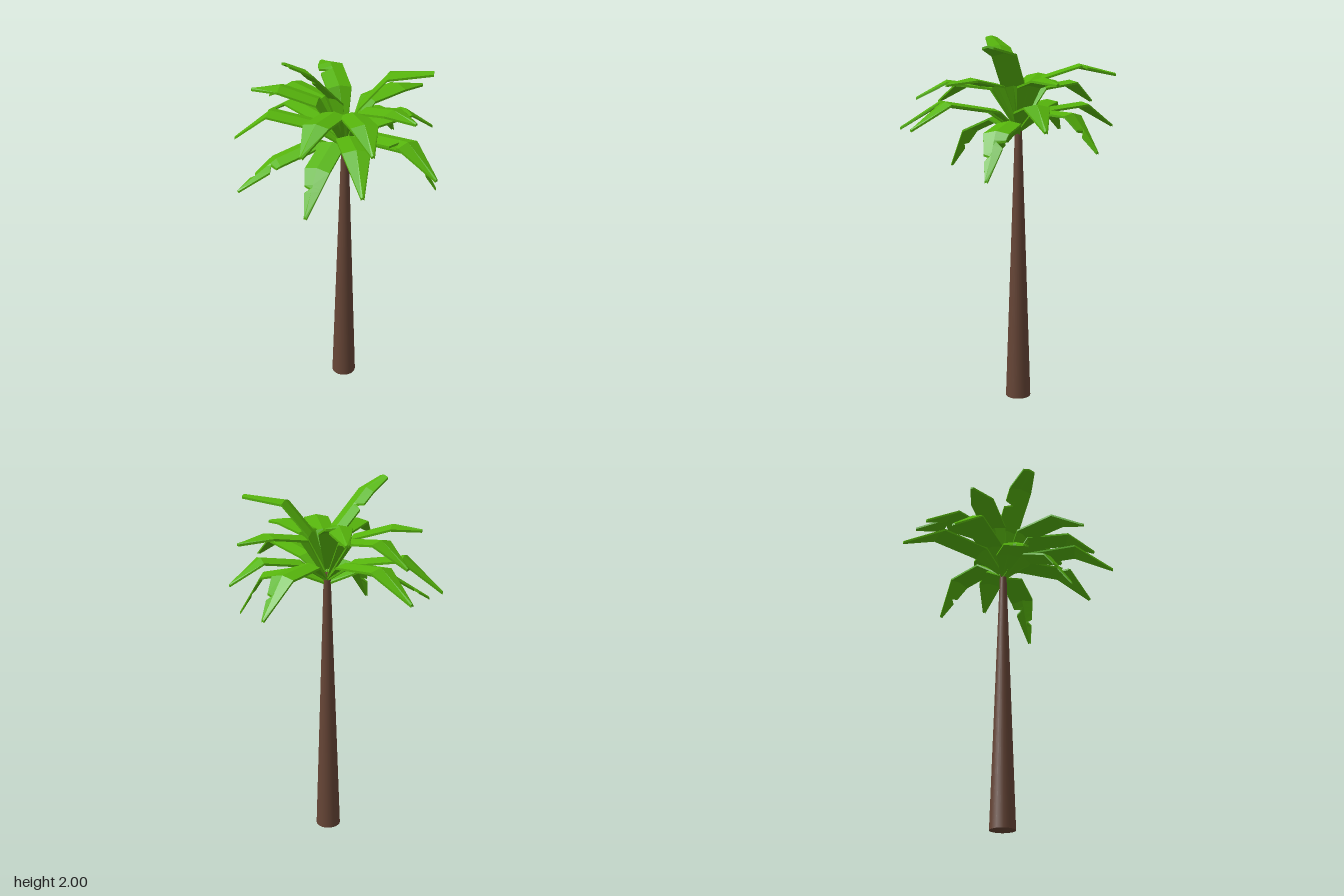
import * as THREE from 'three';

const CX = 0.034, CZ = -0.047;   // trunk axis
const THICK = 0.011;

// [tip x, y, z,  start y,  fold 1 r, y,  fold 2 r, y,  tip half width,  notches [position, side]]
const LOW = [
  [-0.58, 1.47, -0.035, 1.49, 0.15, 1.60, 0.41, 1.64, 0.008],
  [-0.505, 1.50, -0.39, 1.49, 0.15, 1.60, 0.42, 1.63, 0.008],
  [0.44, 1.51, -0.38, 1.49, 0.15, 1.60, 0.36, 1.63, 0.008],
  [0.27, 1.50, 0.545, 1.49, 0.15, 1.60, 0.42, 1.64, 0.008],
  [0.57, 1.51, 0.29, 1.49, 0.15, 1.60, 0.44, 1.64, 0.008, [[1.85, 1]]],
  [0.19, 1.40, -0.55, 1.49, 0.15, 1.60, 0.37, 1.585, 0.008, [[2.45, 1]]],
  [0.52, 1.27, -0.10, 1.47, 0.15, 1.54, 0.35, 1.50, 0.008, [[2.2, -1], [2.5, 1]]],
  [-0.05, 1.28, 0.41, 1.47, 0.15, 1.56, 0.33, 1.49, 0.008, [[2.4, 1]]],
  [-0.44, 1.33, 0.305, 1.47, 0.15, 1.54, 0.38, 1.47, 0.008, [[2.15, -1], [2.55, 1]]],
];
const MIDDLE = [
  [-0.455, 1.77, 0.0, 1.50, 0.14, 1.73, 0.34, 1.79, 0.008],
  [-0.455, 1.64, -0.28, 1.50, 0.14, 1.72, 0.37, 1.75, 0.008],
  [0.37, 1.73, -0.41, 1.50, 0.14, 1.73, 0.33, 1.76, 0.008],
  [0.44, 1.73, 0.16, 1.50, 0.14, 1.73, 0.31, 1.76, 0.008],
  [0.29, 1.66, 0.43, 1.50, 0.14, 1.72, 0.38, 1.75, 0.008],
  [-0.04, 1.64, 0.485, 1.50, 0.14, 1.72, 0.37, 1.74, 0.008],
];
const UPPER = [
  [0.475, 1.91, -0.09, 1.55, 0.08, 1.73, 0.22, 1.89, 0.03],
  [-0.19, 1.996, 0.225, 1.55, 0.06, 1.76, 0.24, 1.94, 0.036, [[1.6, 1]]],
  [-0.22, 1.785, -0.50, 1.55, 0.12, 1.77, 0.32, 1.835, 0.01, [[1.72, -1], [2.1, 1]]],
];

// Stations along a frond: [position 0..3 along the folded path, left, right half width]
function stations(tip, notches) {
  const key = [0.012, 0.066, 0.068, tip, tip];
  const width = s => THREE.MathUtils.lerp(key[Math.floor(s)], key[Math.floor(s) + 1], s % 1);
  const rows = [0, 1, 2, 3].map(s => [s, width(s), width(s)]);
  for (const [s, side] of notches) {
    const w = width(s), cut = w * 0.2;
    rows.push([s - 0.06, width(s - 0.06), width(s - 0.06)]);
    rows.push(side > 0 ? [s, w, cut] : [s, cut, w]);
    rows.push([s + 0.1, width(s + 0.1), width(s + 0.1)]);
  }
  return rows.sort((a, b) => a[0] - b[0]);
}

// Folded frond: six-sided ridged cross-sections swept along a bent path
function frondGeometry([tx, ty, tz, y0, r1, y1, r2, y2, tip, notches = []]) {
  const r3 = Math.hypot(tx - CX, tz - CZ);
  const dx = (tx - CX) / r3, dz = (tz - CZ) / r3;
  const path = [[0.005, y0], [r1, y1], [r2, y2], [r3, ty]];
  const pos = [], index = [];
  const rows = stations(tip, notches);
  for (const [s, left, right] of rows) {
    const i = Math.min(2, Math.floor(s)), f = s - i;
    const r = path[i][0] + (path[i + 1][0] - path[i][0]) * f;
    const y = path[i][1] + (path[i + 1][1] - path[i][1]) * f;
    const drop = 0.15;
    const ring = [
      [-left, -left * drop], [0, 0.004], [right, -right * drop],
      [right, -right * drop - THICK], [0, 0.004 - THICK], [-left, -left * drop - THICK],
    ];
    for (const [u, v] of ring) pos.push(dx * r - dz * u, y + v, dz * r + dx * u);
  }
  for (let k = 0; k < rows.length - 1; k++) {
    for (let j = 0; j < 6; j++) {
      const a = k * 6 + j, b = k * 6 + (j + 1) % 6;
      index.push(a, b, b + 6, a, b + 6, a + 6);
    }
  }
  // End caps, each half of the ridge separately
  const e = (rows.length - 1) * 6;
  for (const [a, b, c] of [[0, 1, 4], [0, 4, 5], [1, 2, 3], [1, 3, 4]]) {
    index.push(e + a, e + b, e + c, a, c, b);
  }
  const indexed = new THREE.BufferGeometry();
  indexed.setAttribute('position', new THREE.Float32BufferAttribute(pos, 3));
  indexed.setIndex(index);
  const geometry = indexed.toNonIndexed();
  geometry.computeVertexNormals();
  return geometry;
}

export function createModel() {
  const model = new THREE.Group();
  model.name = 'palmTree';
  const bark = new THREE.MeshStandardMaterial({ color: 0x664536 });
  const leaf = new THREE.MeshStandardMaterial({ color: 0x56b40c, flatShading: true });

  // Tapered trunk
  const trunk = new THREE.Mesh(new THREE.CylinderGeometry(0.018, 0.069, 1.52, 24), bark);
  trunk.name = 'trunk';
  trunk.position.set(CX, 0.76, CZ);
  model.add(trunk);

  // Three tiers of fronds
  for (const [name, fronds] of Object.entries({ lowerFronds: LOW, middleFronds: MIDDLE, upperFronds: UPPER })) {
    const tier = new THREE.Group();
    tier.name = name;
    tier.position.set(CX, 0, CZ);
    fronds.forEach((frond, i) => {
      const mesh = new THREE.Mesh(frondGeometry(frond), leaf);
      mesh.name = `frond${i + 1}`;
      tier.add(mesh);
    });
    model.add(tier);
  }
  return model;
}
